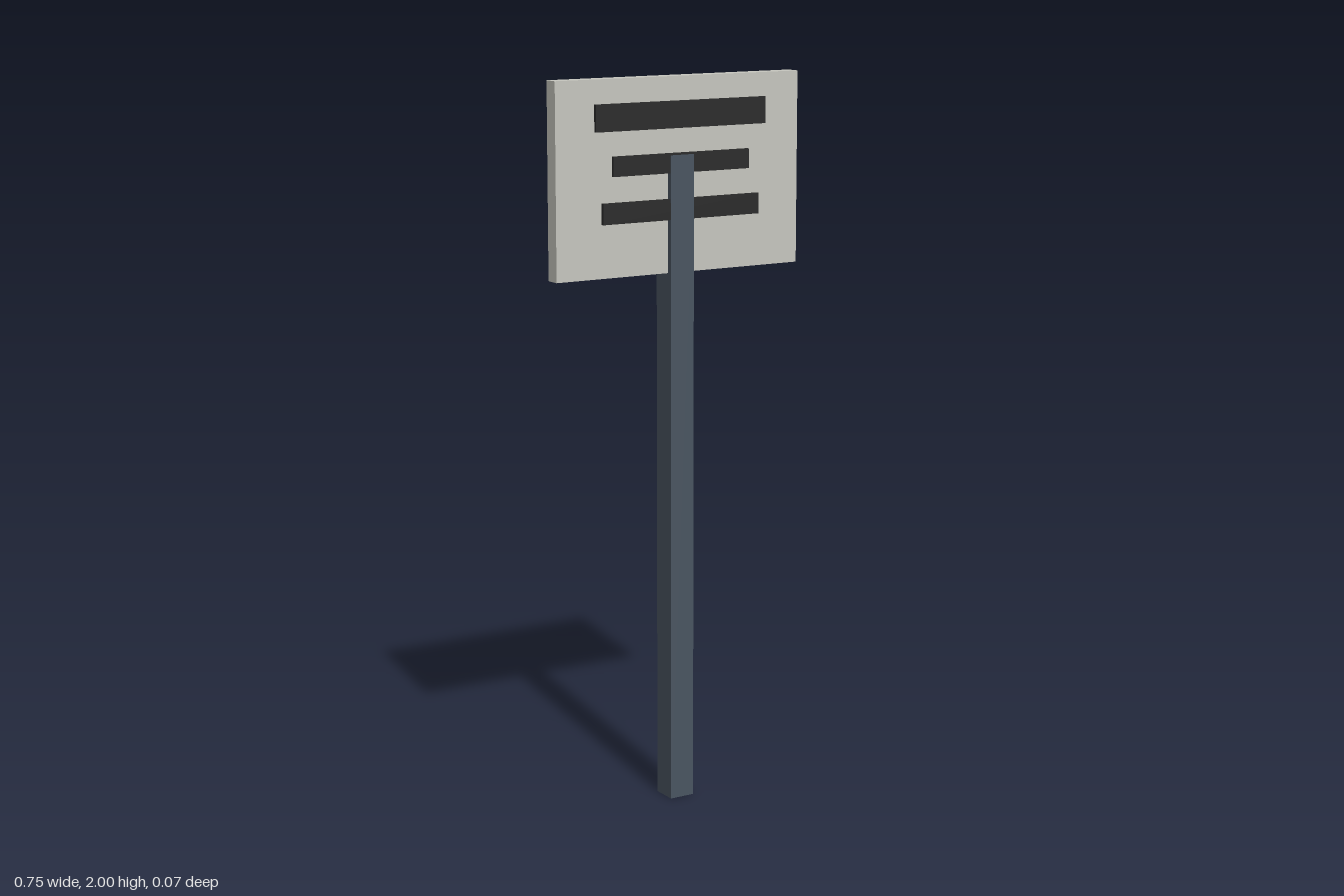
import * as THREE from 'three';

const material = (name, color) => {
  const m = new THREE.MeshStandardMaterial({ color });
  m.name = name;
  return m;
};

export function createModel() {
  const group = new THREE.Group();
  group.name = 'signpost';

  const slate = material('slate post', 0x4a5561);
  const paleGrey = material('pale grey board', 0xc8c8c0);
  const charcoal = material('charcoal bars', 0x2b2b2b);

  const box = (name, mat, [w, h, d], y, z = 0) => {
    const mesh = new THREE.Mesh(new THREE.BoxGeometry(w, h, d), mat);
    mesh.name = name;
    mesh.position.set(0, y, z);
    group.add(mesh);
  };

  // Square post, running through the board
  const postHeight = 1.793;
  box('post', slate, [0.0725, postHeight, 0.0725], postHeight / 2);

  // Sign board
  box('board', paleGrey, [0.755, 0.523, 0.043], 2 - 0.523 / 2);

  // Bars just in front of the board: width, height, centre y
  const bars = [
    ['topBar', 0.528, 0.072, 1.9],
    ['middleBar', 0.423, 0.053, 1.772],
    ['bottomBar', 0.487, 0.056, 1.649],
  ];
  for (const [name, w, h, y] of bars) box(name, charcoal, [w, h, 0.009], y, 0.0313);

  return group;
}
